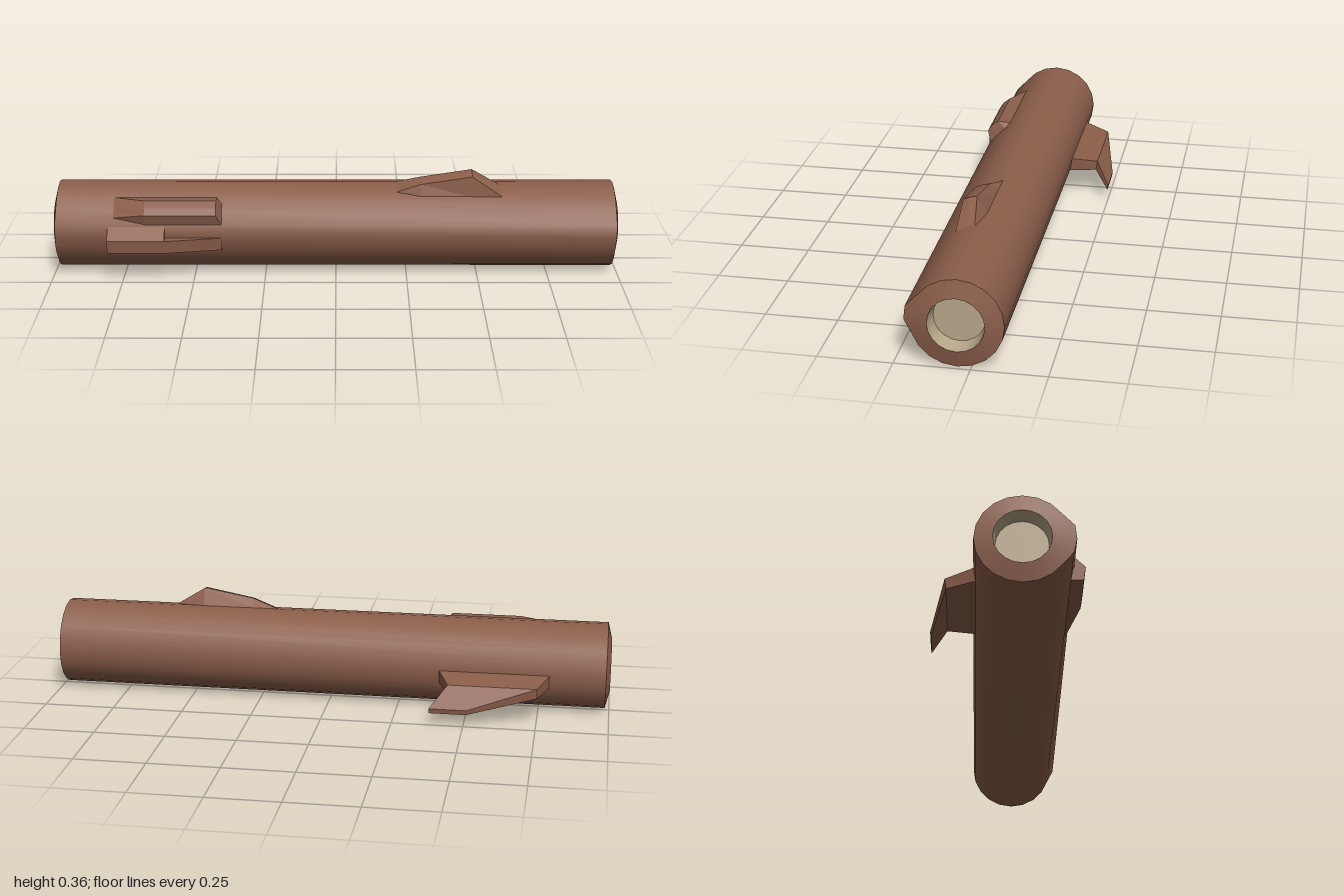
import * as THREE from 'three';
import { toCreasedNormals } from 'three/addons/utils/BufferGeometryUtils.js';

const CY = 0.155, CZ = 0.045, SIDES = 20;

// Skin a list of equal-length point rings; optionally close either end.
function loft(rings, capStart, capEnd, crease = 0.01) {
  const pos = [];
  const tri = (a, b, c) => pos.push(...a, ...b, ...c);
  const n = rings[0].length;
  for (let i = 0; i < rings.length - 1; i++) {
    for (let j = 0; j < n; j++) {
      const k = (j + 1) % n;
      const a = rings[i][j], b = rings[i][k], c = rings[i + 1][k], d = rings[i + 1][j];
      tri(a, b, c);
      tri(a, c, d);
    }
  }
  const first = rings[0], last = rings[rings.length - 1];
  for (let j = 1; j < n - 1; j++) {
    if (capStart) tri(first[0], first[j + 1], first[j]);
    if (capEnd) tri(last[0], last[j], last[j + 1]);
  }
  const geo = new THREE.BufferGeometry();
  geo.setAttribute('position', new THREE.Float32BufferAttribute(pos, 3));
  return toCreasedNormals(geo, crease);
}

// Circle around the log axis; bulge maps a vertex index to a new z.
function ring(x, r, bulge = {}) {
  return Array.from({ length: SIDES }, (_, i) => {
    const a = (i / SIDES) * Math.PI * 2;
    return [x, CY + r * Math.cos(a), bulge[i] ?? CZ + r * Math.sin(a)];
  });
}

// Knot whose [y, z] section grows out of the line from its first to last point;
// stations are [x, growth] pairs along the log.
function knot(section, stations) {
  const n = section.length - 1, s = section[0], e = section[n];
  const rings = stations.map(([x, f]) => section.map((p, i) => {
    const t = i / n;
    return [x, ...[0, 1].map((k) => THREE.MathUtils.lerp(s[k] + (e[k] - s[k]) * t, p[k], f))];
  }));
  return loft(rings, true, true);
}

export function createModel() {
  const group = new THREE.Group();
  const bark = new THREE.MeshStandardMaterial({ color: 0x8b5e4a });
  const wood = new THREE.MeshStandardMaterial({ color: 0xb8a88a });
  const add = (name, geo, mat = bark) => {
    const mesh = new THREE.Mesh(geo, mat);
    mesh.name = name;
    group.add(mesh);
  };

  // Bark shell with slightly domed end rims and a bulging front side
  add('barkShell', loft([
    ring(-1, 0.093),
    ring(-0.985, 0.153, { 4: 0.21, 5: 0.215, 6: 0.205 }),
    ring(0.985, 0.153, { 4: 0.21, 5: 0.215 }),
    ring(1, 0.093),
  ], false, false, Math.PI / 4));

  // Recessed wooden core at each end
  add('rightCore', loft([ring(1, 0.093), ring(0.94, 0.085)], false, true, 0.5), wood);
  add('leftCore', loft([ring(-1, 0.093).reverse(), ring(-0.94, 0.085).reverse()], false, true, 0.5), wood);

  // Knot on top
  add('topKnot', knot(
    [[0.307, 0.045], [0.366, 0.08], [0.362, 0.105], [0.352, 0.127], [0.278, 0.132]],
    [[0.2, 0], [0.3, 0.55], [0.48, 1], [0.59, 0]]));

  // Knot on the upper front
  add('upperFrontKnot', knot(
    [[0.278, 0.132], [0.281, 0.183], [0.262, 0.208], [0.24, 0.222], [0.2, 0.209]],
    [[-0.79, 0], [-0.67, 1], [-0.42, 1], [-0.4, 0]]));

  // Broken bark ledge on the front: short upper wedge, longer tapered lower strip
  const wedge = (x) => [[x, 0.2, 0.205], [x, 0.155, 0.252], [x, 0.155, 0.2]];
  const strip = (x, top, low) => [[x, 0.155, 0.2], [x, 0.155, top], [x, 0.108, low], [x, 0.108, 0.185]];
  add('ledgeWedge', loft([wedge(-0.8), wedge(-0.6)], true, true));
  add('ledgeStrip', loft([
    strip(-0.8, 0.252, 0.245), strip(-0.6, 0.252, 0.245), strip(-0.4, 0.216, 0.207),
  ], true, true));

  // Peeling bark fin that droops at the back
  const finRow = (x0, x1, yTop, yLow, zTop, zLow) =>
    [[x0, yLow, zLow], [x0, yTop, zTop], [x1, yTop, zTop], [x1, yLow, zLow]];
  add('barkFin', loft([
    finRow(-0.79, -0.4, 0.155, 0.108, -0.105, -0.095),
    finRow(-0.75, -0.44, 0.135, 0.099, -0.2, -0.195),
    finRow(-0.51, -0.38, 0.062, 0.045, -0.251, -0.248),
  ], true, true));

  return group;
}
